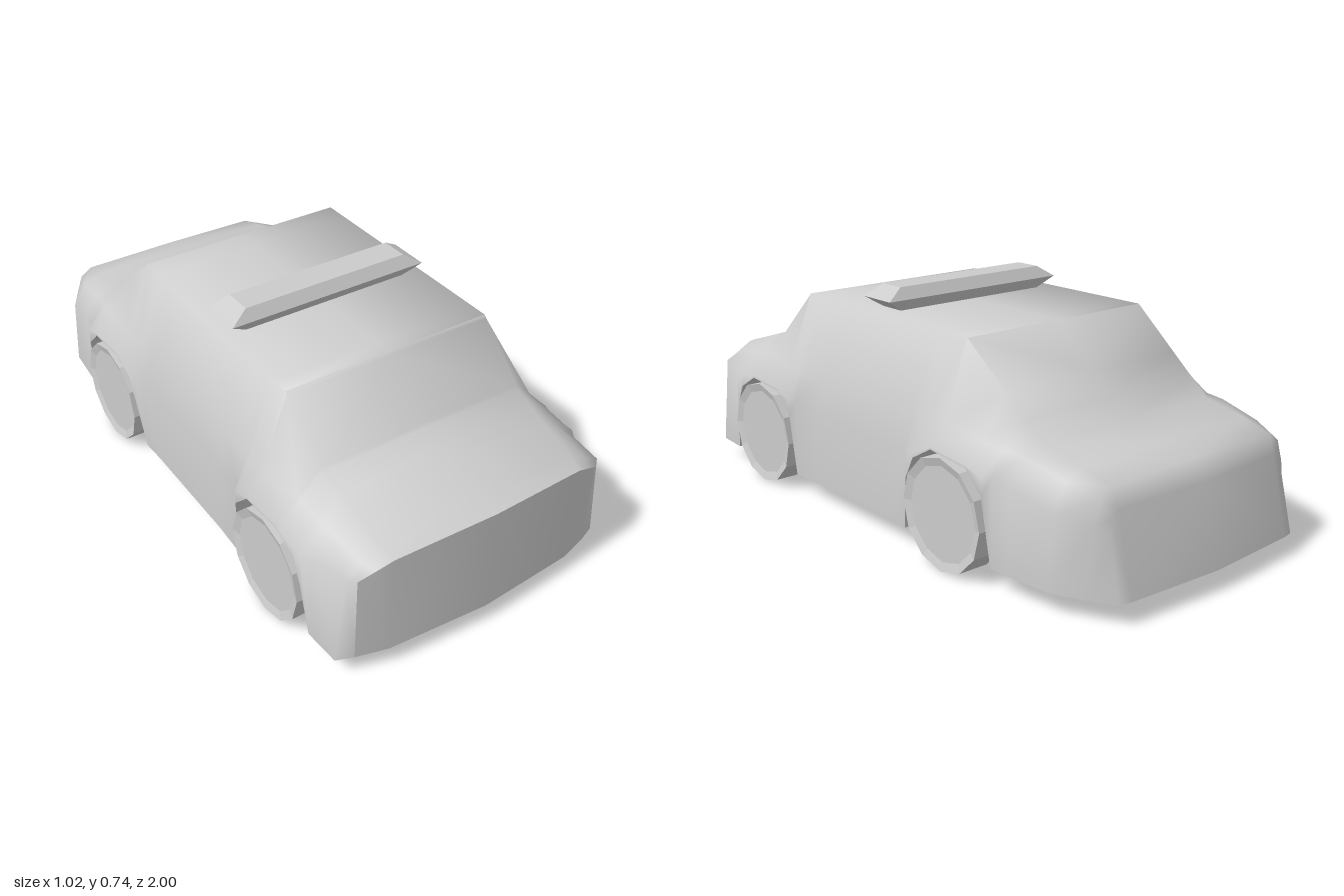
import * as THREE from 'three';
import { toCreasedNormals } from 'three/addons/utils/BufferGeometryUtils.js';

const FLOOR = 0.065;
const grey = (opts = {}) => new THREE.MeshStandardMaterial({ color: 0xcccccc, ...opts });

// Half cross-sections, front to back:
// z, centre top y, top edge x y, shoulder x y, belt x y, sill x, floor edge x
const KEYS = [
  [1.0, 0.42, 0.33, 0.405, 0.38, 0.382, 0.43, 0.355, 0.43, 0.33],
  [0.93, 0.437, 0.34, 0.42, 0.40, 0.39, 0.455, 0.36, 0.483, 0.4],
  [0.81, 0.466, 0.345, 0.455, 0.415, 0.41, 0.48, 0.35, 0.49, 0.4],
  [0.67, 0.50, 0.355, 0.497, 0.43, 0.43, 0.49, 0.35, 0.49, 0.4],
  [0.49, 0.665, 0.36, 0.665, 0.45, 0.42, 0.485, 0.34, 0.49, 0.4],
  [0.3, 0.665, 0.36, 0.665, 0.45, 0.42, 0.475, 0.3, 0.482, 0.4],
  [-0.1, 0.665, 0.36, 0.665, 0.45, 0.42, 0.475, 0.3, 0.482, 0.4],
  [-0.34, 0.665, 0.36, 0.665, 0.45, 0.42, 0.485, 0.34, 0.49, 0.4],
  [-0.65, 0.42, 0.345, 0.42, 0.425, 0.40, 0.473, 0.33, 0.475, 0.4],
  [-0.8, 0.395, 0.34, 0.392, 0.405, 0.37, 0.452, 0.29, 0.462, 0.4],
  [-0.9, 0.37, 0.335, 0.366, 0.375, 0.34, 0.40, 0.27, 0.412, 0.36],
  [-1.0, 0.31, 0.33, 0.308, 0.355, 0.285, 0.365, 0.24, 0.37, 0.33],
];
// Wheel arch outline (z, y), repeated one unit further back
const ARCH = [[0.81, FLOOR], [0.78, 0.24], [0.745, 0.31], [0.66, 0.358], [0.5, 0.345], [0.435, 0.28], [0.42, FLOOR]];

// Linear interpolation in rows sorted by falling first value
function sample(rows, z) {
  for (let i = 0; i < rows.length - 1; i++) {
    const a = rows[i], b = rows[i + 1];
    if (z <= a[0] && z >= b[0]) {
      const t = (a[0] - z) / (a[0] - b[0]);
      return a.map((v, k) => v + (b[k] - v) * t);
    }
  }
  return null;
}

function section(z) {
  const [, top, bx, by, cx, cy, dx, dy, ex, fx] = sample(KEYS, z);
  const arch = sample(ARCH, z) || sample(ARCH, z + 1);
  const low = arch ? arch[1] : FLOOR;
  const inArch = low > 0.2;
  const pts = [
    [0, top], [bx, by], [cx, cy],
    inArch ? [0.5, Math.max(dy, low + 0.008)] : [dx, dy],
    [inArch ? 0.5 : ex, low], [fx, low], [fx, FLOOR], [0, FLOOR],
  ];
  // Nose and tail are bowed in plan; the tail also leans forward
  return pts.map(([x, y]) => {
    let pz = z;
    if (z === 1) pz -= 0.05 * (x / 0.43) ** 3;
    if (z === -1) pz += 0.02 * (x / 0.33) ** 3 + 0.06 * (y - FLOOR) / 0.245;
    return new THREE.Vector3(x, y, pz);
  });
}

// Triangles given for the +x half, mirrored to the other half
function mirroredGeometry(tris) {
  const pos = [];
  const put = (v, s) => pos.push(v.x * s, v.y, v.z);
  for (const [a, b, c] of tris) {
    if (new THREE.Triangle(a, b, c).getArea() < 1e-7) continue;
    [a, b, c].forEach((v) => put(v, 1));
    [a, c, b].forEach((v) => put(v, -1));
  }
  const g = new THREE.BufferGeometry();
  g.setAttribute('position', new THREE.Float32BufferAttribute(pos, 3));
  return toCreasedNormals(g, 1.25);
}

function capTriangles(s, front) {
  const loop = [s[7], s[0], s[1], s[2], s[3], s[4]];
  const hub = s[6];
  return loop.slice(1).map((p, i) => (front ? [hub, p, loop[i]] : [hub, loop[i], p]));
}

function addMesh(parent, name, geometry, material) {
  const m = new THREE.Mesh(geometry, material);
  m.name = name;
  parent.add(m);
  return m;
}

export function createModel() {
  const car = new THREE.Group();
  car.name = 'car';

  // Body shell with wheel wells, lofted from front to back
  const zs = [...KEYS.map((k) => k[0]), ...ARCH.map((a) => a[0]), ...ARCH.map((a) => +(a[0] - 1).toFixed(3))];
  const sections = [...new Set(zs)].sort((a, b) => b - a).map(section);
  const tris = [];
  for (let i = 0; i < sections.length - 1; i++) {
    const p = sections[i], q = sections[i + 1];
    for (let j = 0; j < 7; j++) {
      tris.push([p[j], p[j + 1], q[j]], [p[j + 1], q[j + 1], q[j]]);
    }
  }
  tris.push(...capTriangles(sections[sections.length - 1], false));
  addMesh(car, 'body', mirroredGeometry(tris), grey({ side: THREE.DoubleSide }));

  // Nose panel, with a sharp edge to the bonnet
  addMesh(car, 'frontPanel', mirroredGeometry(capTriangles(sections[0], true)), grey());

  // Wheels with a slightly dished outer face
  const profile = [[0, -0.05], [0.175, -0.05], [0.175, 0.05], [0.148, 0.042], [0, 0.042]]
    .map(([r, h]) => new THREE.Vector2(r, h));
  const wheelGeo = new THREE.LatheGeometry(profile, 12);
  for (const [end, z] of [['front', 0.605], ['rear', -0.395]]) {
    for (const [side, s] of [['Left', 1], ['Right', -1]]) {
      const wheel = addMesh(car, `${end}${side}Wheel`, wheelGeo, grey({ flatShading: true }));
      wheel.rotation.z = -s * Math.PI / 2;
      wheel.position.set(s * 0.46, 0.175, z);
    }
  }

  // Roof light bar: a box widest at mid height
  const bar = new THREE.BoxGeometry(0.7, 0.075, 0.14, 1, 2, 1);
  const p = bar.attributes.position;
  for (let i = 0; i < p.count; i++) {
    if (Math.abs(p.getY(i)) > 0.01) {
      p.setX(i, p.getX(i) * 0.83);
      p.setZ(i, p.getZ(i) * 0.66);
    }
  }
  addMesh(car, 'roofLightBar', bar, grey({ flatShading: true })).position.set(0, 0.7025, 0.12);

  return car;
}
